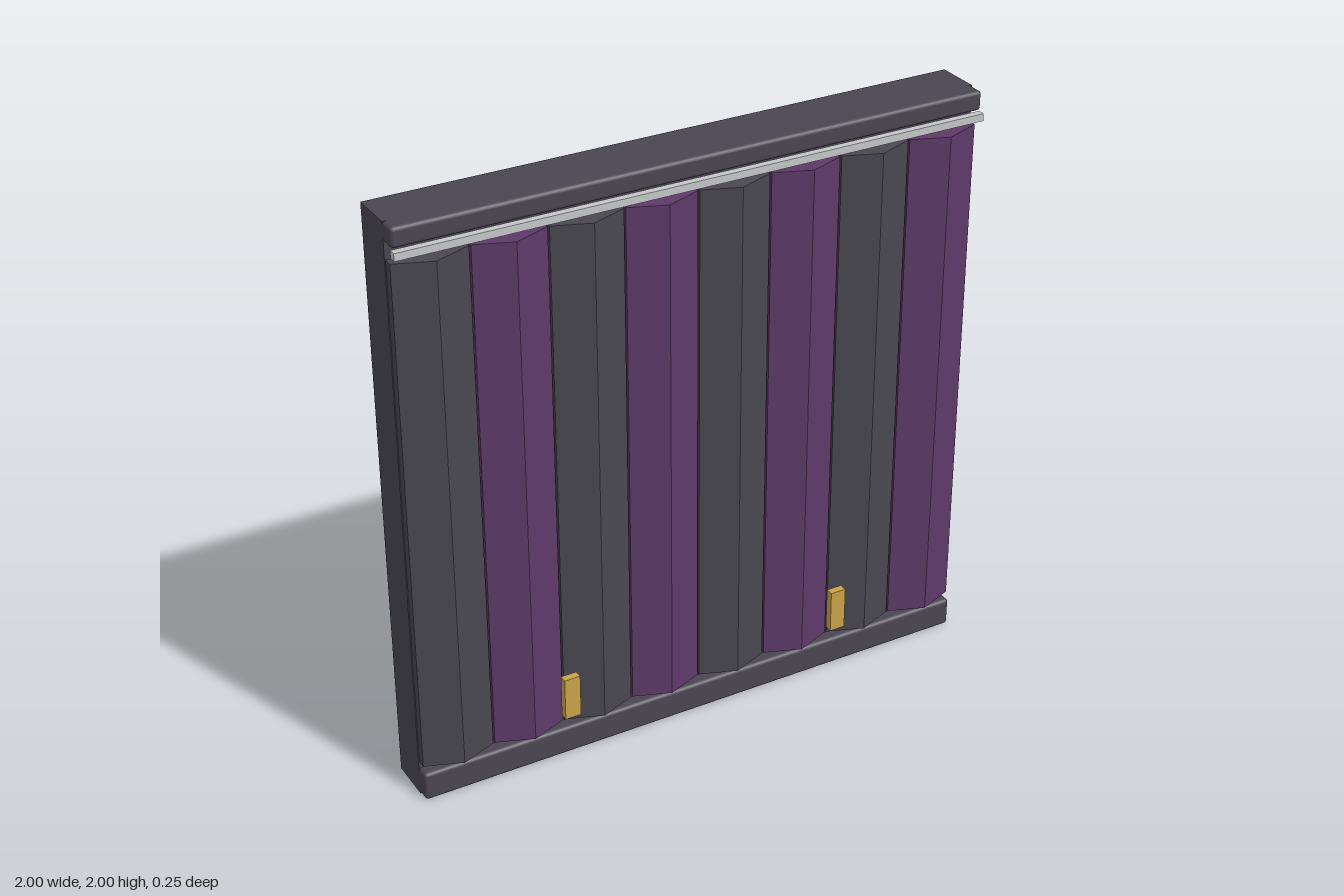
import * as THREE from 'three';
import { RoundedBoxGeometry } from 'three/addons/geometries/RoundedBoxGeometry.js';

export function createModel() {
  const model = new THREE.Group();
  model.name = 'foldedWallPanel';

  const material = (name, color) => {
    const m = new THREE.MeshStandardMaterial({ color });
    m.name = name;
    return m;
  };
  const slate = material('slate', 0x4a4652);
  const charcoal = material('charcoal', 0x4a4750);
  const purple = material('purple', 0x5e3968);
  const silver = material('silver', 0xc4c6c8);
  const gold = material('gold', 0xc9a24a);

  const add = (name, geometry, mat, x = 0, y = 0, z = 0) => {
    const mesh = new THREE.Mesh(geometry, mat);
    mesh.name = name;
    mesh.position.set(x, y, z);
    model.add(mesh);
  };
  // Box given by its y and z ranges
  const span = (name, mat, width, y0, y1, z0, z1, x = 0, radius = 0) => {
    const size = [width, y1 - y0, z1 - z0];
    const geometry = radius
      ? new RoundedBoxGeometry(...size, 2, radius)
      : new THREE.BoxGeometry(...size);
    add(name, geometry, mat, x, (y0 + y1) / 2, (z0 + z1) / 2);
  };

  // Wall slab with its rounded skirting and cornice
  span('wallSlab', slate, 2, 0, 2, -0.125, 0.025);
  span('skirting', slate, 2, 0, 0.1, -0.03, 0.07, 0, 0.012);
  span('cornice', slate, 2, 1.935, 2, -0.03, 0.08, 0, 0.012);

  // Hanging rail
  span('rail', silver, 2, 1.905, 1.93, 0.07, 0.095);

  // Folded strips: a pointed cross-section drawn in x and -z, pulled upwards
  const half = 0.122;
  const profile = new THREE.Shape([
    [-half, -0.02], [half, -0.02], [half, -0.055], [0, -0.102], [-half, -0.055],
  ].map(([x, z]) => new THREE.Vector2(x, z)).reverse());
  const fold = new THREE.ExtrudeGeometry(profile, { depth: 1.755, bevelEnabled: false });
  fold.rotateX(-Math.PI / 2);
  for (let i = 0; i < 8; i++) {
    add(`foldedStrip${i + 1}`, fold, i % 2 ? purple : charcoal, -0.875 + i * 0.25, 0.125, 0);
  }

  // Small gold plates across the seams
  for (const side of [-1, 1]) {
    span(side > 0 ? 'leftClasp' : 'rightClasp', gold, 0.055, 0.18, 0.33, 0.098, 0.125, side * 0.5);
  }

  return model;
}
